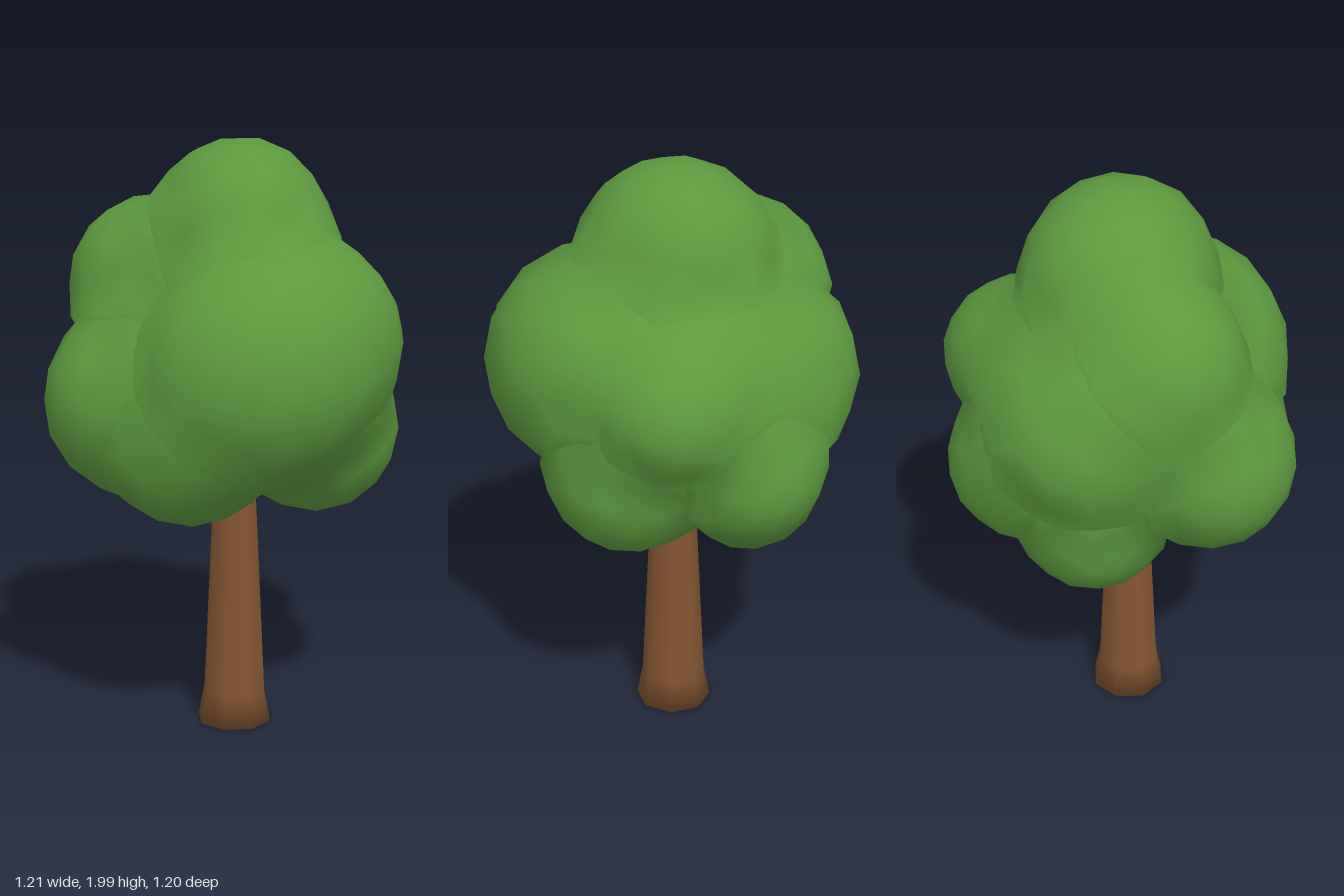
import * as THREE from 'three';
import { mergeVertices } from 'three/addons/utils/BufferGeometryUtils.js';

const bark = new THREE.MeshStandardMaterial({ color: 0x855631 });
bark.name = 'bark brown';
const leaf = new THREE.MeshStandardMaterial({ color: 0x5c9a3e });
leaf.name = 'leaf green';

// Leaf clumps: name, centre x y z, radii x y z
const clumps = [
  ['crownTop', 0.04, 1.66, -0.03, 0.31, 0.34, 0.335],
  ['crownCore', 0, 1.25, -0.02, 0.34, 0.36, 0.34],
  ['frontClump', 0.02, 1.28, 0.26, 0.355, 0.37, 0.345],
  ['frontBridge', 0.14, 1.3, 0.25, 0.31, 0.34, 0.31],
  ['frontLeftShoulder', 0.24, 1.36, 0.14, 0.31, 0.33, 0.31],
  ['rightClump', -0.31, 1.14, 0, 0.305, 0.315, 0.28],
  ['lowerFrontClump', -0.15, 1.03, 0.2, 0.27, 0.26, 0.26],
  ['lowerLeftClump', 0.28, 1.04, 0.02, 0.285, 0.285, 0.28],
  ['leftClump', 0.37, 1.32, -0.17, 0.24, 0.235, 0.245],
  ['backLeftShoulder', 0.17, 1.34, -0.2, 0.28, 0.28, 0.28],
  ['upperRightClump', -0.24, 1.5, -0.14, 0.28, 0.295, 0.28],
  ['backClump', -0.06, 1.28, -0.26, 0.345, 0.345, 0.345],
  ['lowerBackLeftClump', 0.17, 1.07, -0.34, 0.25, 0.26, 0.255],
  ['lowerBackClump', -0.05, 0.91, -0.25, 0.25, 0.26, 0.25],
].map(([name, x, y, z, rx, ry, rz]) => ({
  name, centre: new THREE.Vector3(x, y, z), radii: new THREE.Vector3(rx, ry, rz),
}));

// Outward direction and approximate distance from a clump's surface
function probe(clump, point) {
  const q = point.clone().sub(clump.centre).divide(clump.radii);
  const size = q.length();
  const slope = q.divide(clump.radii);
  return { distance: size * (size - 1) / slope.length(), normal: slope.normalize() };
}

// A low-poly ball that swells and leans its normals where it meets its neighbours
function clumpGeometry(clump) {
  const blend = 0.12;
  const ball = new THREE.IcosahedronGeometry(1, 2);
  ball.deleteAttribute('uv');
  ball.deleteAttribute('normal');
  const geometry = mergeVertices(ball);
  const position = geometry.attributes.position;
  const normals = new THREE.BufferAttribute(new Float32Array(position.count * 3), 3);
  const p = new THREE.Vector3();
  for (let i = 0; i < position.count; i++) {
    p.fromBufferAttribute(position, i).multiply(clump.radii).add(clump.centre);
    const n = probe(clump, p).normal;
    let push = 0;
    for (const other of clumps) {
      if (other === clump) continue;
      const { distance, normal } = probe(other, p);
      const h = Math.max(blend - Math.abs(distance), 0);
      push = Math.max(push, h * h / (4 * blend));
      n.addScaledVector(normal, h / blend);
    }
    n.normalize();
    p.addScaledVector(n, push).sub(clump.centre);
    position.setXYZ(i, p.x, p.y, p.z);
    normals.setXYZ(i, n.x, n.y, n.z);
  }
  geometry.setAttribute('normal', normals);
  return geometry;
}

export function createModel() {
  const tree = new THREE.Group();
  tree.name = 'tree';

  // Eight-sided trunk with a flared, closed foot
  const profile = [[0, 0], [0.128, 0], [0.107, 0.11], [0.073, 0.85], [0.06, 1.15]]
    .map(([r, y]) => new THREE.Vector2(r, y));
  const trunk = new THREE.Mesh(new THREE.LatheGeometry(profile, 8, Math.PI / 8), bark);
  trunk.name = 'trunk';
  trunk.position.set(0.02, 0, -0.01);
  tree.add(trunk);

  // Crown of merged leaf clumps
  const crown = new THREE.Group();
  crown.name = 'crown';
  for (const clump of clumps) {
    const mesh = new THREE.Mesh(clumpGeometry(clump), leaf);
    mesh.name = clump.name;
    mesh.position.copy(clump.centre);
    crown.add(mesh);
  }
  tree.add(crown);
  return tree;
}
